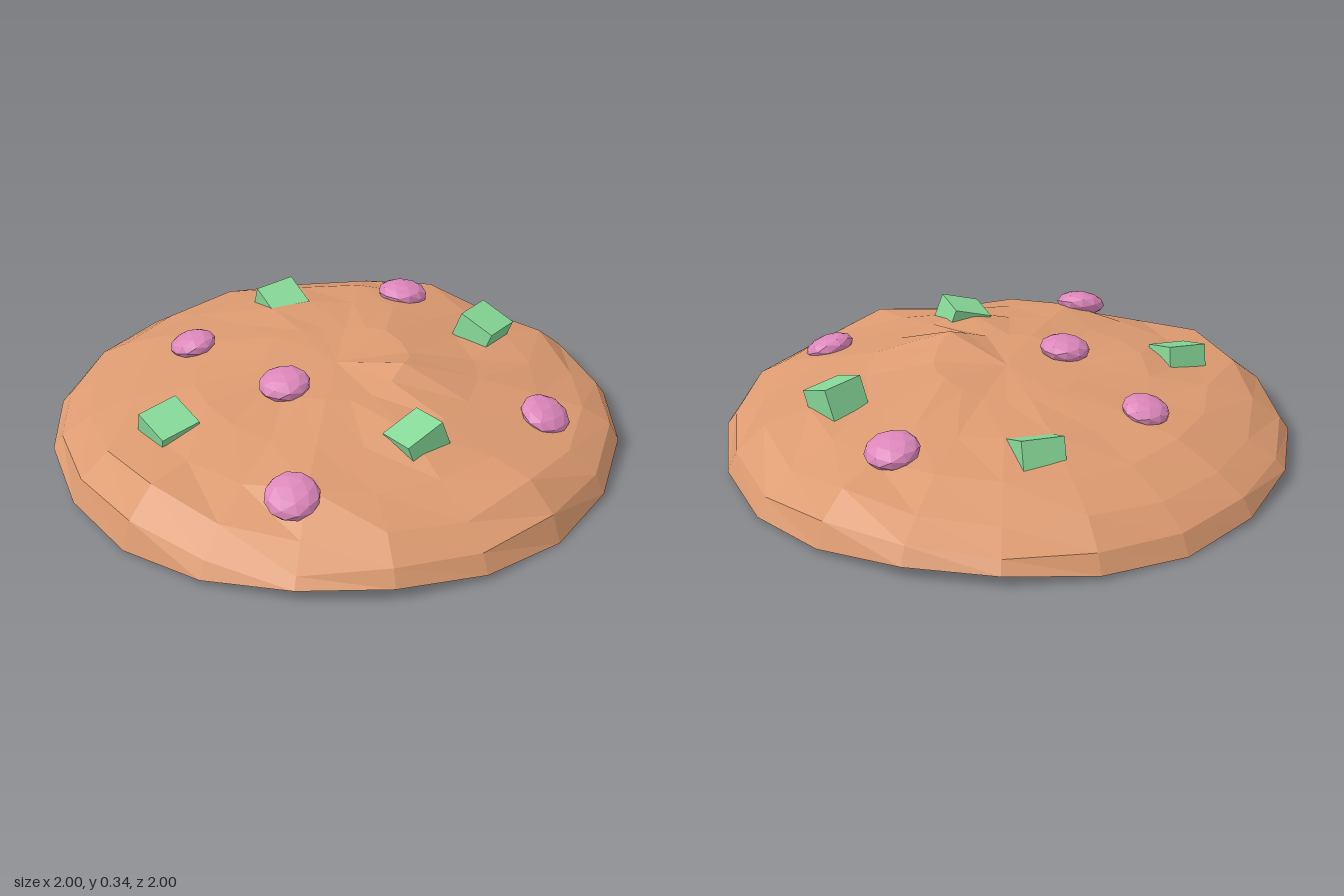
import * as THREE from 'three';

const material = (color) => new THREE.MeshStandardMaterial({ color, flatShading: true, roughness: 0.9 });

// Local lumps on the crust: x, z, extra height
const LUMPS = [
  [0.08, 0.246, 0.075], [0.25, 0, 0.02], [0, 0.87, 0.04], [0.44, 0.86, 0.03],
  [-0.87, 0, 0.04], [-0.82, -0.27, 0.045], [0.82, -0.27, 0.03], [0.82, 0.27, 0.02],
  [-0.57, 0.41, 0.02], [-0.16, 0.48, 0.02], [0.16, -0.48, 0.015], [0.4, 0.3, -0.02],
  [-0.7, 0.51, -0.02], [-0.08, -0.24, -0.01], [0.57, -0.41, 0.015], [0, 0, -0.005],
];

// The rim lifts a little on the diagonals
const rimHeight = (x, z) => 0.045 * (2 * x * z) ** 2;

// Height of the uneven dome above the ground
function crustHeight(x, z) {
  const r = Math.min(1, Math.hypot(x, z));
  const dome = Math.sqrt(1 - r * r);
  if (dome < 0.01) return rimHeight(x, z);
  let y = 0.285 * dome + rimHeight(x, z) * (1 - dome) * 0.6;
  y += 0.013 * Math.sin(9 * x + 4 * z) * Math.cos(11 * z - 3 * x);
  for (const [lx, lz, h] of LUMPS) y += h * Math.exp(-((x - lx) ** 2 + (z - lz) ** 2) / 0.012);
  return y;
}

function makeCookie() {
  const group = new THREE.Group();
  group.name = 'cookie';
  const dough = material(0xdc9a70);

  // Faceted dome
  const top = new THREE.SphereGeometry(1, 20, 6, 0, Math.PI * 2, 0, Math.PI / 2);
  // Underside, a shallow fan that meets the rim
  const base = new THREE.CircleGeometry(1, 20).rotateX(Math.PI / 2);
  for (const [name, geo, height] of [
    ['crust', top, crustHeight],
    ['underside', base, rimHeight],
  ]) {
    const p = geo.attributes.position;
    for (let i = 0; i < p.count; i++) p.setY(i, height(p.getX(i), p.getZ(i)));
    geo.computeVertexNormals();
    const mesh = new THREE.Mesh(geo, dough);
    mesh.name = name;
    group.add(mesh);
  }
  return group;
}

export function createModel() {
  const model = new THREE.Group();
  model.name = 'decoratedCookie';
  model.add(makeCookie());

  // Flattened round candies: x, y, z, radius, tilt about x, tilt about z
  const pink = material(0xdc86ba);
  const round = new THREE.IcosahedronGeometry(1, 1);
  const roundCandies = [
    [-0.22, 0.25, -0.5, 0.083, -0.2, 0.1],
    [0.615, 0.233, -0.23, 0.094, -0.05, -0.2],
    [-0.24, 0.29, -0.015, 0.09, 0, 0.12],
    [-0.63, 0.22, 0.405, 0.092, 0.25, 0.3],
    [0.34, 0.192, 0.665, 0.09, 0.4, -0.1],
  ];
  for (const [x, y, z, r, rx, rz] of roundCandies) {
    const candy = new THREE.Mesh(round, pink);
    candy.name = 'roundCandy';
    candy.position.set(x, y, z);
    candy.scale.set(r, r * 0.5, r);
    candy.rotation.set(rx, 0, rz);
    model.add(candy);
  }

  // Tilted cube candies sunk in the crust: x, y, z, rotation
  const green = material(0x86d898);
  const cube = new THREE.BoxGeometry(0.15, 0.13, 0.14);
  const cubeCandies = [
    [0.24, 0.215, -0.51, 0.4, -0.2, 0.15],
    [-0.62, 0.2, -0.19, 0.3, -0.1, 0.15],
    [-0.14, 0.235, 0.505, -0.1, -0.2, 0.3],
    [0.585, 0.235, 0.18, 0.35, 0.1, -0.1],
  ];
  for (const [x, y, z, rx, ry, rz] of cubeCandies) {
    const candy = new THREE.Mesh(cube, green);
    candy.name = 'cubeCandy';
    candy.position.set(x, y, z);
    candy.rotation.set(rx, ry, rz);
    model.add(candy);
  }
  return model;
}
